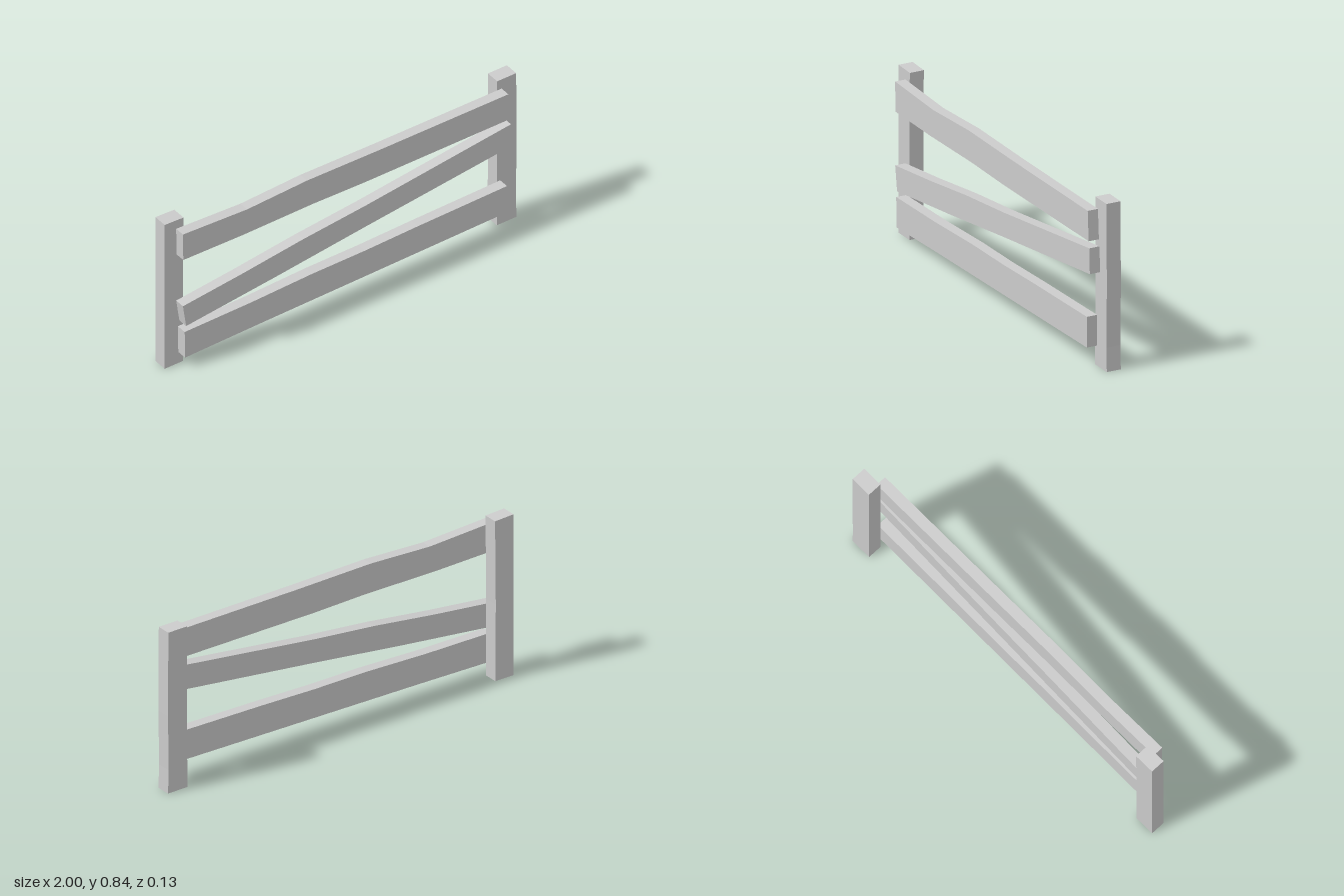
import * as THREE from 'three';

const material = new THREE.MeshStandardMaterial({ color: 0xcccccc, flatShading: true });

// Board cut from an outline in the front plane, spanning z0 to z1
function board(name, outline, z0, z1) {
  const shape = new THREE.Shape(outline.map(([x, y]) => new THREE.Vector2(x, y)));
  const geometry = new THREE.ExtrudeGeometry(shape, { depth: z1 - z0, bevelEnabled: false });
  geometry.translate(0, 0, z0);
  const mesh = new THREE.Mesh(geometry, material);
  mesh.name = name;
  return mesh;
}

export function createModel() {
  const group = new THREE.Group();
  group.name = 'fence';

  // Upright posts, slightly uneven
  const posts = {
    rightPost: [[-1, 0], [-0.895, 0], [-0.897, 0.4], [-0.893, 0.832], [-1, 0.836]],
    leftPost: [[0.888, 0], [1, 0], [0.996, 0.12], [1, 0.4], [0.998, 0.836], [0.89, 0.836], [0.89, 0.4]],
  };
  for (const [name, outline] of Object.entries(posts)) group.add(board(name, outline, -0.064, 0.01));

  // Rough-hewn rails nailed to the front of the posts
  const rails = {
    topRail: [[-0.933, 0.636], [-0.6, 0.632], [-0.2, 0.637], [0.1, 0.632], [0.924, 0.635],
      [0.915, 0.783], [0.2, 0.783], [-0.23, 0.787], [-0.57, 0.77], [-0.935, 0.785]],
    diagonalRail: [[-0.917, 0.245], [-0.4, 0.307], [0.1, 0.372], [0.935, 0.475],
      [0.93, 0.602], [0.1, 0.494], [-0.25, 0.456], [-0.6, 0.408], [-0.935, 0.368]],
    bottomRail: [[-0.923, 0.064], [-0.5, 0.074], [0.1, 0.085], [0.907, 0.1],
      [0.907, 0.253], [0.4, 0.243], [0.1, 0.234], [-0.2, 0.232], [-0.55, 0.219], [-0.925, 0.214]],
  };
  for (const [name, outline] of Object.entries(rails)) group.add(board(name, outline, 0.01, 0.064));

  return group;
}
